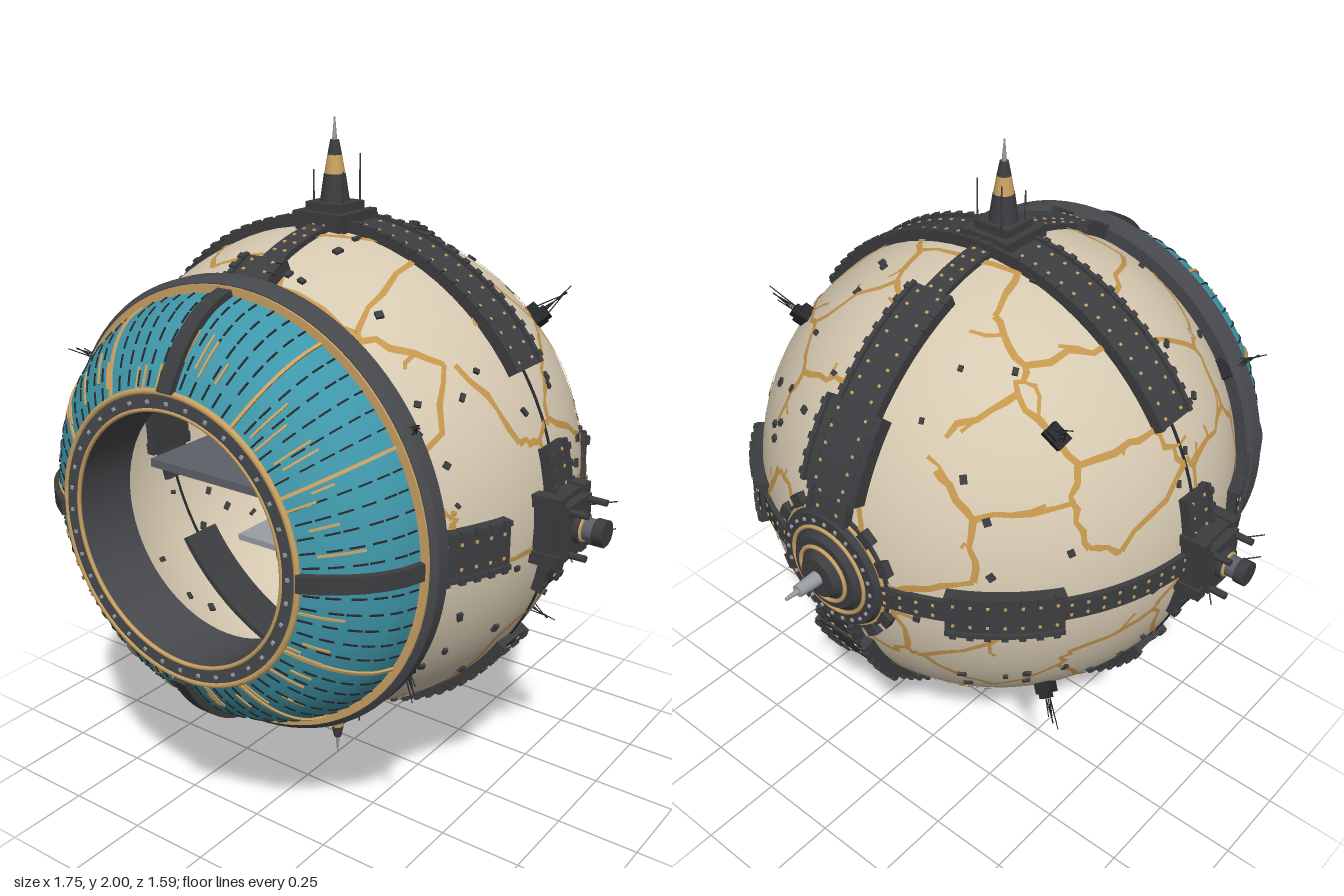
import * as THREE from 'three';
import { mergeGeometries, toCreasedNormals } from 'three/addons/utils/BufferGeometryUtils.js';
import { ConvexGeometry } from 'three/addons/geometries/ConvexGeometry.js';

const R = 0.71, PI = Math.PI, D = PI / 180;
const V = (x, y, z) => new THREE.Vector3(x, y, z);
const mat = (color, side = THREE.FrontSide) => new THREE.MeshStandardMaterial({ color, side });
const M = {
  hull: mat(0xd6c9b1, THREE.DoubleSide), dark: mat(0x3c3d40), steel: mat(0x5d6168, THREE.DoubleSide),
  light: mat(0x9a9da3), teal: mat(0x3f97aa, THREE.DoubleSide), gold: mat(0xc9a262, THREE.DoubleSide),
  vein: mat(0xc4964c, THREE.DoubleSide), cream: mat(0xe6cf9c), black: mat(0x26282b), rim: mat(0x48494d, THREE.DoubleSide),
};
let seed = 7;
const rnd = () => (seed = (seed * 16807) % 2147483647) / 2147483647;
const box = (w, h, d, x = 0, y = 0, z = 0) => new THREE.BoxGeometry(w, h, d).translate(x, y, z);
const cyl = (r0, r1, y0, y1, n = 20, x = 0, z = 0) =>
  new THREE.CylinderGeometry(r1, r0, y1 - y0, n).translate(x, (y0 + y1) / 2, z);
// revolved profile around z, points are [radius, z]
const lathe = (pts, n = 72) => toCreasedNormals(
  new THREE.LatheGeometry(pts.map(p => new THREE.Vector2(...p)), n), 0.6).rotateX(PI / 2);
const torus = (r, t, z, n = 96) => new THREE.TorusGeometry(r, t, 8, n).translate(0, 0, z);

function add(parent, name, material, geos) {
  const list = [].concat(geos).map(g => (g.index ? g.toNonIndexed() : g));
  const mesh = new THREE.Mesh(list.length > 1 ? mergeGeometries(list) : list[0], material);
  mesh.name = name;
  parent.add(mesh);
  return mesh;
}
// moves a geometry built along +y to stand on the hull in a direction
function onHull(geo, dir, r = R) {
  const n = dir.clone().normalize();
  geo.applyQuaternion(new THREE.Quaternion().setFromUnitVectors(V(0, 1, 0), n));
  return geo.translate(n.x * r, n.y * r, n.z * r);
}
// curved bar in the XY plane
function arcBar(a0, a1, w, r0, r1, off = 0) {
  const s = new THREE.Shape();
  s.absarc(0, 0, r1, a0, a1, false);
  s.absarc(0, 0, r0, a1, a0, true);
  const n = Math.max(6, Math.ceil((a1 - a0) * 14));
  return toCreasedNormals(new THREE.ExtrudeGeometry(s, { depth: w, bevelEnabled: false, curveSegments: n })
    .translate(0, 0, off - w / 2), 0.5);
}
const planes = {
  cross: g => g.translate(0, 0, -0.01),
  sagittal: g => g.rotateY(-PI / 2),
  equator: g => g.rotateX(PI / 2),
};
// riveted strap with raised edge rails; angles in degrees
function strap(parent, plane, a, b, hw, r = 0.73) {
  const [a0, a1] = [Math.min(a, b) * D, Math.max(a, b) * D];
  const put = planes[plane], body = [arcBar(a0, a1, hw * 2, 0.69, r)], dots = [];
  if (hw > 0.04) for (const s of [-1, 1]) body.push(arcBar(a0, a1, 0.014, 0.69, r + 0.008, s * (hw - 0.007)));
  const n = Math.max(2, Math.round((a1 - a0) * r / 0.045));
  for (let i = 0; i < n; i++) for (const s of [-1, 1]) {
    const t = a0 + (a1 - a0) * (i + 0.5) / n;
    dots.push(box(0.006, 0.008, 0.008, r, 0, s * hw * 0.5).rotateZ(t));
    if (hw > 0.04) body.push(box(0.012, 0.018, 0.02, r + 0.006, 0, s * (hw - 0.005)).rotateZ(t));
  }
  const g = new THREE.Group();
  g.name = plane + 'Strap';
  add(g, 'strapBody', M.dark, body.map(put));
  add(g, 'strapRivets', M.gold, dots.map(put));
  parent.add(g);
}
// flat strip lying on the hull
function ribbon(pts, hw) {
  const pos = [], idx = [];
  pts.forEach((p, i) => {
    const t = pts[Math.min(i + 1, pts.length - 1)].clone().sub(pts[Math.max(i - 1, 0)]);
    const s = p.clone().cross(t).normalize().multiplyScalar(hw * (0.75 + 0.5 * rnd()));
    for (const k of [1, -1]) pos.push(...p.clone().addScaledVector(s, k).toArray());
    if (i) { const j = 2 * i; idx.push(j - 2, j - 1, j, j, j - 1, j + 1); }
  });
  const g = new THREE.BufferGeometry();
  g.setAttribute('position', new THREE.Float32BufferAttribute(pos, 3));
  g.setIndex(idx);
  g.computeVertexNormals();
  return g;
}
// branching veins along the cell borders of scattered points
function veins() {
  const pts = [], N = 84, out = [], seen = new Map();
  for (let i = 0; i < N; i++) {
    const y = 1 - 2 * (i + 0.5) / N, q = Math.sqrt(1 - y * y), a = i * 2.39996;
    pts.push(V(q * Math.cos(a), y, q * Math.sin(a)).add(V(rnd() - 0.5, rnd() - 0.5, rnd() - 0.5).multiplyScalar(0.26)).normalize());
  }
  const p = new ConvexGeometry(pts).attributes.position;
  const path = (a, b, n, hw) => {
    const l = [];
    for (let i = 0; i <= n; i++) {
      const v = a.clone().lerp(b, i / n), j = i % n ? 0.035 : 0;
      l.push(v.add(V(rnd() - 0.5, rnd() - 0.5, rnd() - 0.5).multiplyScalar(j)).normalize().multiplyScalar(R + 0.004));
    }
    if (l.every(v => v.z < 0.4)) out.push(ribbon(l, hw));
    return l[Math.floor(n / 2)].clone().normalize();
  };
  for (let i = 0; i < p.count; i += 3) {
    const c = [0, 1, 2].map(k => new THREE.Vector3().fromBufferAttribute(p, i + k));
    const n = c[1].clone().sub(c[0]).cross(c[2].clone().sub(c[0])).normalize();
    for (let k = 0; k < 3; k++) {
      const key = [c[k], c[(k + 1) % 3]].map(v => v.toArray().map(f => f.toFixed(3)).join()).sort().join('|');
      if (!seen.has(key)) { seen.set(key, n); continue; }
      if (rnd() < 0.2) continue;
      const mid = path(seen.get(key), n, 5, 0.0085);
      if (rnd() < 0.6) path(mid, mid.clone().add(V(rnd() - 0.5, rnd() - 0.5, rnd() - 0.5).multiplyScalar(0.2)), 2, 0.005);
    }
  }
  return out;
}
// front dome: rib following its profile
const domeCurve = new THREE.SplineCurve([[0.6, 0.475], [0.578, 0.54], [0.533, 0.605], [0.468, 0.662], [0.395, 0.705]]
  .map(p => new THREE.Vector2(...p)));
function domeRib(ang, w, h, s0 = 0, s1 = 1, n = 10) {
  const up = [], low = [];
  for (let i = 0; i <= n; i++) {
    const s = s0 + (s1 - s0) * i / n, p = domeCurve.getPoint(s), t = domeCurve.getTangent(s);
    up.push(new THREE.Vector2(p.x + t.y * h, p.y - t.x * h));
    low.unshift(new THREE.Vector2(p.x - t.y * 0.006, p.y + t.x * 0.006));
  }
  return new THREE.ExtrudeGeometry(new THREE.Shape([...up, ...low]), { depth: w, bevelEnabled: false })
    .translate(0, 0, -w / 2).rotateX(PI / 2).rotateZ(ang);
}

function buildFront(g) {
  add(g, 'frontDome', M.teal, lathe(domeCurve.getPoints(20).map(p => [p.x, p.y])));
  add(g, 'collar', M.rim, lathe([[0.57, 0.4], [0.625, 0.4], [0.64, 0.412], [0.64, 0.455], [0.625, 0.468], [0.58, 0.468], [0.57, 0.4]], 96));
  add(g, 'collarTrim', M.gold, lathe([[0.622, 0.465], [0.622, 0.474], [0.597, 0.474], [0.597, 0.465]], 96));
  add(g, 'windowRim', M.rim, lathe([[0.345, 0.52], [0.345, 0.7], [0.352, 0.708], [0.392, 0.708], [0.402, 0.695], [0.402, 0.68]]));
  add(g, 'windowTrim', M.gold, [torus(0.397, 0.009, 0.703), torus(0.35, 0.006, 0.705)]);
  const ribs = [], gold = [], dashes = [], rivets = [];
  for (let i = 0; i < 12; i++) {
    if (i % 3 === 0) ribs.push(domeRib(i * 30 * D, 0.046, 0.018));
    else gold.push(domeRib(i * 30 * D, 0.009, 0.006));
    for (let k = 1; k < 6; k++) for (let j = 0; j < 6; j++) {
      const s = (j + 0.25 * rnd()) / 6.2;
      dashes.push(domeRib((i * 30 + k * 5) * D, 0.0045, 0.003, s, s + 0.11, 2));
    }
    for (let k = 0; k < 4; k++) {
      const s = 0.45 + 0.4 * rnd();
      gold.push(domeRib((i + rnd()) * 30 * D, 0.006, 0.004, s, Math.min(1, s + 0.15 + 0.2 * rnd()), 3));
    }
  }
  for (let i = 0; i < 36; i++) rivets.push(box(0.009, 0.009, 0.006, 0.372, 0, 0.71).rotateZ(i * 10 * D));
  add(g, 'domeRibs', M.dark, ribs);
  add(g, 'domeGoldRibs', M.gold, gold);
  add(g, 'domeSeams', M.black, dashes);
  add(g, 'windowRivets', M.light, rivets);
}

function buildInterior(g) {
  add(g, 'deck', M.steel, box(0.9, 0.025, 0.62, 0, 0, 0.02));
  add(g, 'backWall', M.steel, box(0.95, 0.8, 0.02, 0, 0, -0.28));
  add(g, 'woodPanel', M.vein, [0, 1, 2, 3, 4, 5].map(i => box(0.46, 0.011, 0.3, 0, 0.25 + i * 0.016, 0)));
  const frames = [], lamps = [], posts = [];
  [0.03, 0.1, 0.21].forEach((y, j) => {
    frames.push(box(0.62, 0.012, 0.1, 0, y - 0.03, -0.2));
    for (let i = -3; i <= 3; i++) {
      frames.push(box(0.06, 0.05, 0.08, i * 0.09, y, -0.2));
      if ((i + j) % 4) lamps.push(box(0.035, 0.026, 0.01, i * 0.09, y, -0.156));
    }
  });
  for (let i = -4; i <= 4; i++) {
    posts.push(cyl(0.009, 0.009, -0.4, 0, 8, i * 0.07, -0.15 + 0.1 * Math.abs(i % 3)));
    posts.push(box(0.012, 0.3, 0.02, i * 0.08, 0.15, -0.25));
  }
  for (const y of [-0.12, -0.22, -0.3]) posts.push(box(0.6, 0.012, 0.03, 0, y, -0.2));
  add(g, 'consoles', M.black, frames);
  add(g, 'consoleLights', M.cream, lamps);
  add(g, 'posts', M.dark, posts);
  add(g, 'centralColumn', M.light, [cyl(0.034, 0.034, -0.16, 0.2, 20, 0, 0.1), cyl(0.05, 0.05, -0.02, 0.02, 20, 0, 0.1)]);
  add(g, 'workTables', M.light, [box(0.16, 0.018, 0.2, -0.06, -0.17, 0.2), box(0.07, 0.03, 0.22, 0.06, -0.17, 0.22), box(0.06, 0.02, 0.18, 0.0, -0.13, 0.16)]);
}

// pole fitting built along +y from the hull centre
function buildSpire(parent, flip) {
  const g = new THREE.Group();
  g.name = flip ? 'bottomSpire' : 'topSpire';
  add(g, 'spireBase', M.dark, [box(0.16, 0.05, 0.15, 0, 0.725), box(0.12, 0.03, 0.11, 0, 0.76), cyl(0.042, 0.03, 0.77, 0.85), cyl(0.02, 0.012, 0.9, 0.94),
    ...[-1, 1].flatMap(s => [box(0.025, 0.035, 0.17, s * 0.07, 0.735), cyl(0.003, 0.002, 0.76, 0.9, 6, s * 0.042, -0.06), cyl(0.003, 0.002, 0.76, 0.86, 6, s * 0.05, 0.03)])]);
  add(g, 'spireBand', M.gold, cyl(0.029, 0.02, 0.85, 0.9));
  add(g, 'spireNeedle', M.light, cyl(0.007, 0.002, 0.94, 1, 8));
  if (flip) g.rotation.z = PI;
  g.position.z = 0.012;
  parent.add(g);
}
// side thruster fitting built along +x
function buildSideHub(parent, s) {
  const g = new THREE.Group();
  g.name = s > 0 ? 'leftHub' : 'rightHub';
  const parts = [box(0.18, 0.1, 0.16, 0, 0.72), box(0.15, 0.03, 0.13, 0, 0.78), cyl(0.045, 0.045, 0.78, 0.81), cyl(0.036, 0.036, 0.845, 0.875)];
  for (const a of [-1, 1]) for (const b of [-1, 1]) {
    parts.push(cyl(0.01, 0.01, 0.78, 0.845, 8, a * 0.06, b * 0.055), box(0.035, 0.11, 0.035, a * 0.08, 0.725, b * 0.07));
    parts.push(cyl(0.002, 0.002, 0, 0.1, 5).rotateX(b * 0.9).translate(a * 0.04, 0.78, b * 0.05));
  }
  add(g, 'hubBody', M.dark, parts);
  add(g, 'hubNozzle', M.steel, cyl(0.031, 0.031, 0.8, 0.86));
  add(g, 'hubRing', M.gold, new THREE.TorusGeometry(0.032, 0.006, 8, 24).rotateX(PI / 2).translate(0, 0.81, 0));
  g.rotation.z = -s * PI / 2;
  g.position.z = 0.012;
  parent.add(g);
}
function buildRearHub(parent) {
  const g = new THREE.Group();
  g.name = 'rearHub';
  const lugs = [], rivets = [];
  for (let i = 0; i < 14; i++) lugs.push(box(0.045, 0.05, 0.045, 0.2, 0.672, 0).rotateY(i * PI / 7));
  for (let i = 0; i < 24; i++) rivets.push(box(0.009, 0.008, 0.009, 0.158, 0.716, 0).rotateY(i * PI / 12));
  add(g, 'rearDiscs', M.dark, [cyl(0.2, 0.2, 0.63, 0.69, 48), cyl(0.185, 0.175, 0.69, 0.715, 48), cyl(0.125, 0.11, 0.715, 0.735, 40), cyl(0.075, 0.06, 0.735, 0.76, 32), ...lugs]);
  add(g, 'rearRings', M.gold, [[0.135, 0.717], [0.085, 0.738], [0.185, 0.692]].map(([r, y]) => new THREE.TorusGeometry(r, 0.006, 8, 48).rotateX(PI / 2).translate(0, y, 0)));
  add(g, 'rearRivets', M.light, rivets);
  add(g, 'rearNeedle', M.light, [cyl(0.022, 0.018, 0.75, 0.83, 16), cyl(0.008, 0.005, 0.83, 0.872, 8)]);
  g.rotation.x = -PI / 2;
  parent.add(g);
}

export function createModel() {
  const root = new THREE.Group(), g = new THREE.Group();
  root.name = 'sphericalStation';
  g.name = 'station';
  g.position.set(0, 1, 0.08);
  root.add(g);
  add(g, 'hull', M.hull, new THREE.SphereGeometry(R, 80, 48, 0, PI * 2, 0.95, PI - 0.95).rotateX(PI / 2));
  add(g, 'hullVeins', M.vein, veins());
  add(g, 'hullSeams', M.black, [torus(R, 0.005, -0.01), new THREE.TorusGeometry(R, 0.004, 8, 96, PI + 1.1).rotateZ(-0.55 + PI).rotateX(PI / 2).rotateY(PI / 2).rotateY(-PI / 2).rotateY(0).rotateX(0)
    .rotateZ(0)].slice(0, 1));
  buildFront(g);
  buildInterior(g);

  // straps, mirrored top/bottom and left/right
  for (const s of [1, -1]) {
    strap(g, 'cross', s * 33, s * 147, 0.07);
    strap(g, 'sagittal', s * 112, s * 166, 0.07);
    strap(g, 'sagittal', s * 141, s * 160, 0.1, 0.738);
    strap(g, 'sagittal', s * 57, s * 113, 0.034, 0.724);
    strap(g, 'sagittal', s * 56, s * 65, 0.07, 0.738);
    const flank = a => (s > 0 ? a : 180 - a);
    strap(g, 'cross', flank(-16.5), flank(16.5), 0.055);
    strap(g, 'equator', flank(0), flank(-80), 0.034, 0.724);
    strap(g, 'equator', flank(-36), flank(-61), 0.068, 0.735);
    strap(g, 'equator', flank(17), flank(34), 0.068, 0.735);
    buildSpire(g, s < 0);
    buildSideHub(g, s);
  }
  buildRearHub(g);

  // sensor clusters with whiskers, then small scattered hull fittings
  const sensors = [], bits = [];
  for (const x of [-1, 1]) for (const y of [-1, 1]) for (const [a, b, c] of [[0.45, 0.44, -0.32], [0.5, 0.31, 0.4]]) {
    const d = V(a * x, b * y, c);
    sensors.push(onHull(box(0.06, 0.035, 0.045, 0, 0.012), d), onHull(box(0.035, 0.02, 0.03, 0.01, 0.035), d));
    for (let i = -2; i <= 2; i++)
      sensors.push(onHull(cyl(0.002, 0.0015, 0, 0.09 + 0.02 * (i % 2), 5).rotateZ(i * 0.13).translate(i * 0.01, 0.03, 0.01 * (i % 2)), d));
  }
  for (let i = 0; i < 110; i++) {
    const z = -0.95 + 1.45 * rnd(), a = rnd() * PI * 2, q = Math.sqrt(1 - z * z);
    bits.push(onHull(box(0.012 + 0.014 * rnd(), 0.016, 0.01 + 0.012 * rnd()).rotateY(a), V(q * Math.cos(a), q * Math.sin(a), z)));
  }
  add(g, 'sensorClusters', M.black, sensors);
  add(g, 'hullFittings', M.dark, bits);
  return root;
}
